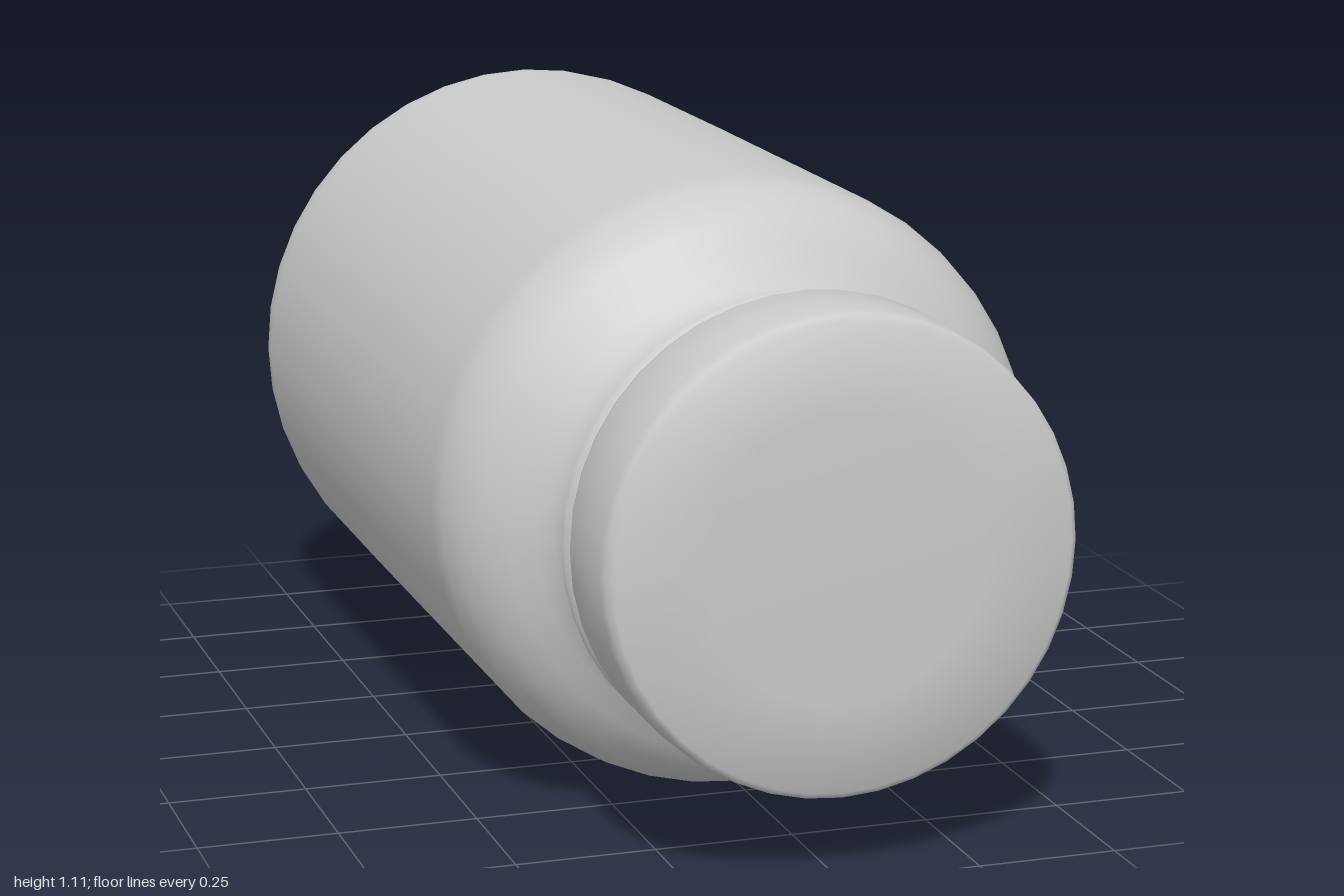
import * as THREE from 'three';
import { toCreasedNormals } from 'three/addons/utils/BufferGeometryUtils.js';

const SEGMENTS = 40;

// Turn a [radius, z] profile, listed back to front, around the z axis
function turned(name, profile, crease) {
  const points = profile.map(([r, z]) => new THREE.Vector2(r, z));
  let geometry = new THREE.LatheGeometry(points, SEGMENTS).rotateX(Math.PI / 2);
  if (crease) geometry = toCreasedNormals(geometry, crease);
  const material = new THREE.MeshStandardMaterial({ color: 0xcccccc, side: THREE.DoubleSide });
  const mesh = new THREE.Mesh(geometry, material);
  mesh.name = name;
  return mesh;
}

export function createModel() {
  const bottle = new THREE.Group();
  bottle.name = 'bottle';

  // Dished base, straight wall, rounded shoulder and waisted neck
  const body = turned('body', [
    [0, -0.94], [0.2, -0.942], [0.28, -0.955], [0.34, -0.98], [0.39, -0.996],
    [0.43, -1], [0.475, -0.993], [0.51, -0.975], [0.535, -0.945], [0.549, -0.9],
    [0.553, -0.85], [0.555, -0.4], [0.555, 0.1], [0.555, 0.42], [0.548, 0.465],
    [0.53, 0.51], [0.5, 0.55], [0.46, 0.58], [0.42, 0.602], [0.393, 0.625],
    [0.38, 0.65], [0.374, 0.69], [0.375, 0.72], [0.385, 0.75], [0.385, 0.8],
  ]);

  // Thin tamper ring under the cap
  const ring = turned('tamperRing', [
    [0.375, 0.73], [0.4, 0.735], [0.414, 0.743], [0.412, 0.755], [0.396, 0.768], [0.385, 0.775],
  ], 0.9);

  // Screw cap with a slightly softened rim and flat front
  const cap = turned('cap', [
    [0.385, 0.76], [0.4, 0.765], [0.413, 0.778], [0.42, 0.8], [0.421, 0.9],
    [0.419, 0.96], [0.415, 0.985], [0.404, 0.994], [0.25, 0.998], [0, 1],
  ], 1);
  cap.position.x = 0.004;
  cap.position.y = 0.004;

  bottle.add(body, ring, cap);
  bottle.position.y = 0.556;

  const model = new THREE.Group();
  model.add(bottle);
  return model;
}
